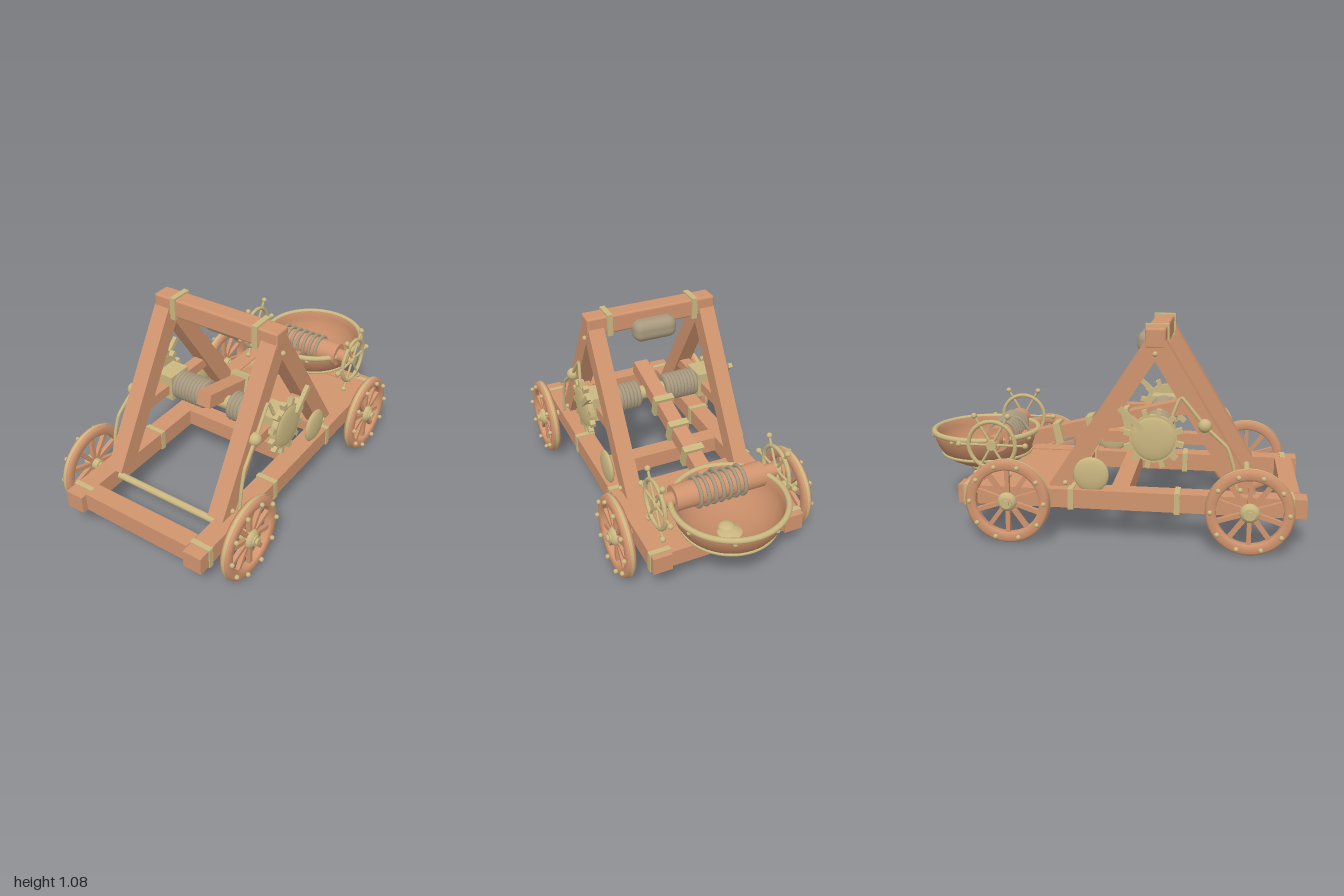
import * as THREE from 'three';
import { RoundedBoxGeometry } from 'three/addons/geometries/RoundedBoxGeometry.js';

const wood = new THREE.MeshStandardMaterial({ color: 0xd0946e });
wood.name = 'wood';
const bowlWood = new THREE.MeshStandardMaterial({ color: 0xc48a66, side: THREE.DoubleSide });
bowlWood.name = 'bowl wood';
const brass = new THREE.MeshStandardMaterial({ color: 0xc9b680 });
brass.name = 'brass';
const rope = new THREE.MeshStandardMaterial({ color: 0xa8997f });
rope.name = 'rope';

export function createModel() {
  const root = new THREE.Group();
  root.name = 'catapult';

  const add = (name, geo, mat, x = 0, y = 0, z = 0, parent = root) => {
    const m = new THREE.Mesh(geo, mat);
    m.name = name;
    m.position.set(x, y, z);
    parent.add(m);
    return m;
  };
  const box = (name, mat, w, h, d, x, y, z, parent) =>
    add(name, new THREE.BoxGeometry(w, h, d), mat, x, y, z, parent);
  const ball = (name, mat, r, x, y, z, parent) =>
    add(name, new THREE.SphereGeometry(r, 20, 14), mat, x, y, z, parent);
  // Cylinder lying along x
  const rod = (name, mat, r, len, x, y, z, parent) =>
    add(name, new THREE.CylinderGeometry(r, r, len, 24).rotateZ(Math.PI / 2), mat, x, y, z, parent);
  // Ring around the x axis
  const ring = (name, mat, r, tube, x, y, z, parent) =>
    add(name, new THREE.TorusGeometry(r, tube, 10, 40).rotateY(Math.PI / 2), mat, x, y, z, parent);
  // Square beam between two points given as [y, z]
  const beam = (name, mat, w, h, x, a, b) => {
    const p = new THREE.Vector3(x, a[0], a[1]), q = new THREE.Vector3(x, b[0], b[1]);
    const m = new THREE.Mesh(new THREE.BoxGeometry(w, h, p.distanceTo(q)), mat);
    m.name = name;
    m.position.copy(p).add(q).multiplyScalar(0.5);
    m.lookAt(q);
    root.add(m);
    return m;
  };

  // Chassis
  box('frontCrossbeam', wood, 0.62, 0.1, 0.09, 0, 0.215, 0.925);
  box('middleCrossbeam', wood, 0.62, 0.09, 0.09, 0, 0.215, 0.085);
  box('rearCrossbeam', wood, 0.62, 0.09, 0.09, 0, 0.215, -0.675);
  box('rearDeck', wood, 0.64, 0.06, 0.5, 0, 0.225, -0.4);

  // Spoked road wheel, built around the x axis
  const rimProfile = [[0.16, -0.015], [0.17, -0.025], [0.2, -0.025], [0.212, -0.014],
    [0.212, 0.014], [0.2, 0.025], [0.17, 0.025], [0.16, 0.015], [0.16, -0.015]]
    .map(([r, h]) => new THREE.Vector2(r, h));
  const roadWheel = (s, z) => {
    const g = new THREE.Group();
    g.name = 'roadWheel';
    g.position.set(s * 0.488, 0.215, z);
    root.add(g);
    add('rim', new THREE.LatheGeometry(rimProfile, 48).rotateZ(-Math.PI / 2), wood, 0, 0, 0, g);
    add('tyreBand', new THREE.CylinderGeometry(0.215, 0.215, 0.016, 48, 1, true).rotateZ(Math.PI / 2),
      brass, 0, 0, 0, g);
    rod('hub', brass, 0.028, 0.085, 0, 0, 0, g);
    rod('hubCap', brass, 0.018, 0.03, s * 0.04, 0, 0, g);
    ball('hubDome', brass, 0.048, s * 0.012, 0, 0, g).scale.x = 0.6;
    for (let i = 0; i < 10; i++) {
      const a = i * Math.PI / 5;
      const spoke = box('spoke', wood, 0.022, 0.14, 0.022, 0, Math.cos(a) * 0.1, Math.sin(a) * 0.1, g);
      spoke.rotation.x = a;
      const b = a + Math.PI / 10;
      ball('rimStud', brass, 0.012, s * 0.033, Math.cos(b) * 0.187, Math.sin(b) * 0.187, g);
    }
  };
  for (const z of [0.725, -0.455]) {
    rod('axle', brass, 0.018, 0.94, 0, 0.215, z);
    for (const s of [-1, 1]) roadWheel(s, z);
  }

  for (const s of [-1, 1]) {
    // Side rail with bands
    box('sideRail', wood, 0.1, 0.095, 1.735, s * 0.36, 0.213, 0.133);
    for (const z of [0.925, 0.375, -0.155, -0.69])
      box('railBand', brass, 0.112, 0.108, 0.028, s * 0.36, 0.212, z);

    // A-frame
    beam('frontLeg', wood, 0.088, 0.095, s * 0.314, [0.985, 0.262], [0.24, 0.715]);
    beam('rearLeg', wood, 0.086, 0.095, s * 0.314, [0.985, 0.248], [0.24, -0.235]);
    box('legTie', wood, 0.06, 0.055, 0.56, s * 0.314, 0.525, 0.28);
    for (const [y, z] of [[0.942, 0.255], [0.28, 0.68], [0.28, -0.19]])
      ball('legStud', brass, 0.013, s * 0.362, y, z);
    box('beamBand', brass, 0.03, 0.118, 0.118, s * 0.24, 1.016, 0.255);

    // Rope bundle and its bearing
    rod('bundleCore', rope, 0.066, 0.19, s * 0.17, 0.535, 0.255);
    for (let i = 0; i < 9; i++) ring('ropeCoil', rope, 0.066, 0.012, s * (0.09 + i * 0.0205), 0.535, 0.255);
    box('bearingBlock', brass, 0.1, 0.14, 0.14, s * 0.315, 0.535, 0.255);

    // Ratchet gear, handle and pawl rod
    rod('ratchetGear', brass, 0.118, 0.03, s * 0.388, 0.535, 0.255);
    ball('gearDome', brass, 0.11, s * 0.4, 0.535, 0.255).scale.x = 0.16;
    for (let i = 0; i < 12; i++) {
      const a = i * Math.PI / 6 + 0.2;
      box('gearTooth', brass, 0.028, 0.04, 0.026, s * 0.39,
        0.535 + Math.cos(a) * 0.128, 0.255 + Math.sin(a) * 0.128).rotation.x = a;
    }
    beam('ratchetHandle', brass, 0.022, 0.026, s * 0.414, [0.585, 0.2], [0.685, 0.09]);
    const path = new THREE.CatmullRomCurve3([[0.39, 0.265, 0.665], [0.39, 0.4, 0.645], [0.385, 0.5, 0.61],
      [0.372, 0.6, 0.5], [0.365, 0.735, 0.385], [0.375, 0.65, 0.345]]
      .map(([x, y, z]) => new THREE.Vector3(s * x, y, z)), false, 'catmullrom', 0.2);
    add('pawlRod', new THREE.TubeGeometry(path, 48, 0.009, 10), brass);
    ball('pawlKnob', brass, 0.034, s * 0.368, 0.6, 0.5);

    // Side boss on the rail
    ball('sideBoss', brass, 0.09, s * 0.382, 0.335, -0.055).scale.x = 0.24;

    // Winch handwheel
    const g = new THREE.Group();
    g.name = 'handwheel';
    g.position.set(s * 0.33, 0.452, -0.575);
    root.add(g);
    ring('handwheelRim', brass, 0.122, 0.011, 0, 0, 0, g);
    rod('handwheelHub', brass, 0.026, 0.03, 0, 0, 0, g);
    for (let i = 0; i < 6; i++) {
      const a = i * Math.PI / 3 + Math.PI / 6;
      add('handwheelSpoke', new THREE.CylinderGeometry(0.007, 0.007, 0.17, 10), brass,
        0, Math.cos(a) * 0.085, Math.sin(a) * 0.085, g).rotation.x = a;
      ball('handwheelKnob', brass, 0.015, 0, Math.cos(a) * 0.174, Math.sin(a) * 0.174, g);
    }
  }

  // Top beam and stop pad
  add('topBeam', new RoundedBoxGeometry(0.72, 0.1, 0.1, 2, 0.012), wood, 0, 1.016, 0.255);
  add('stopPad', new RoundedBoxGeometry(0.24, 0.115, 0.11, 5, 0.045), rope, 0, 0.958, 0.193);

  // Throwing arm on its hub
  rod('armHub', brass, 0.038, 0.2, 0, 0.535, 0.255);
  beam('throwingArm', wood, 0.08, 0.075, 0, [0.62, 0.4], [0.402, -0.5]);
  for (const z of [0.08, -0.11, -0.29]) {
    const y = 0.62 + (z - 0.4) * 0.242;
    beam('armBand', brass, 0.11, 0.11, 0, [y + 0.0045, z + 0.019], [y - 0.0045, z - 0.019]);
  }

  // Bowl with rings, studs and boss
  const bowlProfile = [[0.002, 0.255], [0.08, 0.258], [0.15, 0.275], [0.2, 0.3], [0.238, 0.335],
    [0.265, 0.38], [0.28, 0.42], [0.285, 0.46], [0.268, 0.46], [0.262, 0.42], [0.247, 0.383],
    [0.22, 0.345], [0.18, 0.312], [0.13, 0.288], [0.07, 0.275], [0.002, 0.272]]
    .map(([r, y]) => new THREE.Vector2(r, y));
  add('bowl', new THREE.LatheGeometry(bowlProfile, 48), bowlWood, 0, 0, -0.7);
  for (const [r, t, y] of [[0.282, 0.015, 0.455], [0.238, 0.009, 0.332]])
    add('bowlRing', new THREE.TorusGeometry(r, t, 10, 56).rotateX(Math.PI / 2), brass, 0, y, -0.7);
  for (let i = 0; i < 8; i++) {
    const a = (i + 0.5) * Math.PI / 4;
    ball('bowlStud', brass, 0.012, Math.cos(a) * 0.285, 0.437, -0.7 + Math.sin(a) * 0.285);
  }
  ball('bowlInnerBoss', brass, 0.045, 0, 0.275, -0.685).scale.y = 0.6;
  ball('bowlFoot', brass, 0.08, 0, 0.25, -0.72).scale.y = 0.5;

  // Rear winch roller
  rod('winchRoller', wood, 0.065, 0.48, 0, 0.455, -0.575);
  rod('winchShaft', wood, 0.036, 0.63, 0, 0.455, -0.575);
  rod('winchPin', brass, 0.014, 0.69, 0, 0.453, -0.575);
  for (let i = 0; i < 7; i++) ring('winchCoil', rope, 0.072, 0.01, -0.12 + i * 0.04, 0.455, -0.575);
  const line = new THREE.CatmullRomCurve3([new THREE.Vector3(0, 0.53, -0.575),
    new THREE.Vector3(0, 0.51, -0.51), new THREE.Vector3(0, 0.45, -0.46)]);
  add('winchLine', new THREE.TubeGeometry(line, 16, 0.009, 8), rope);

  return root;
}
